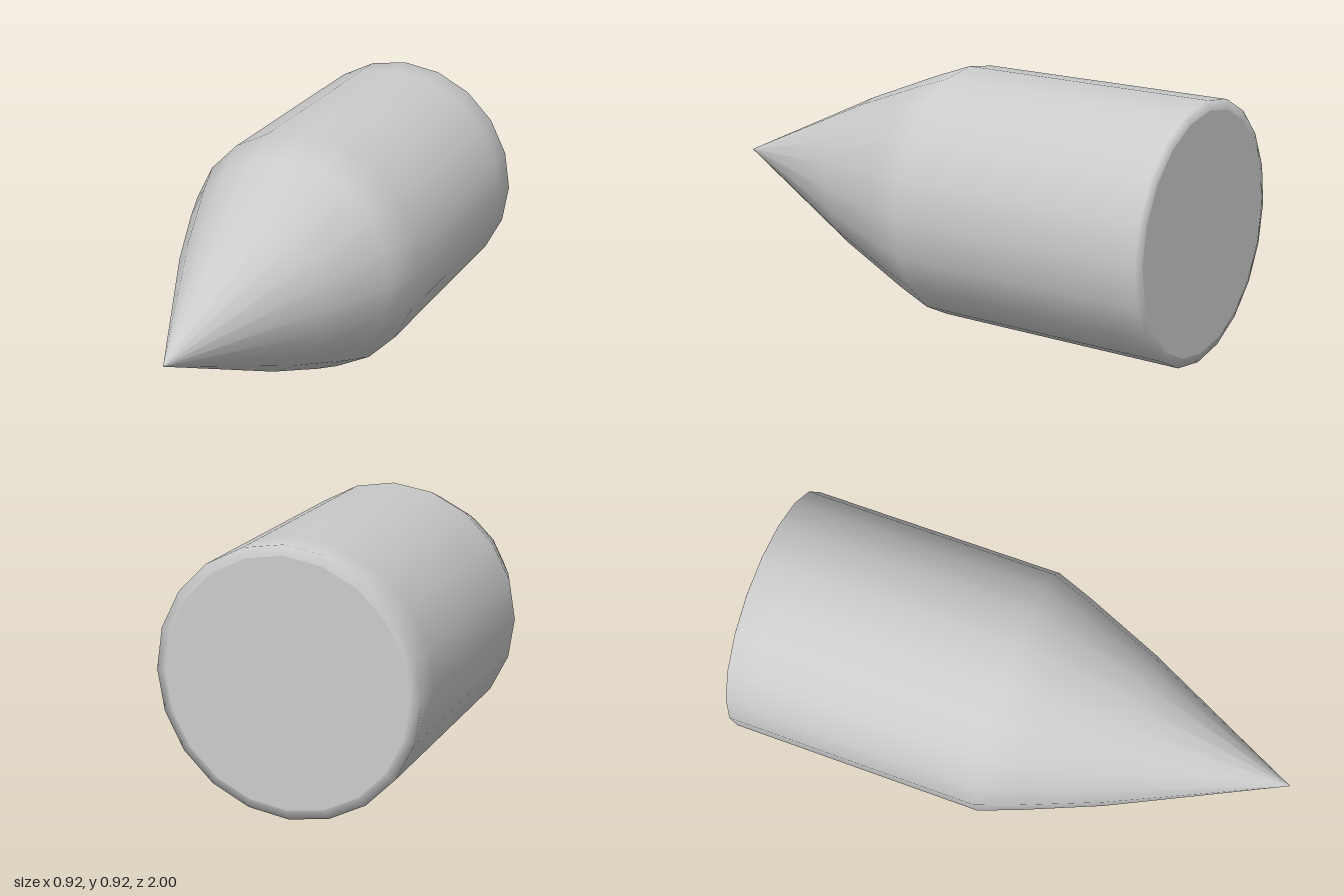
import * as THREE from 'three';

const SIDES = 20;
const RADIUS = 0.459;
const RIM = 0.425;

export function createModel() {
  const group = new THREE.Group();
  group.name = 'pointedRound';
  const material = new THREE.MeshStandardMaterial({ color: 0xcccccc });

  // Body and pointed nose: [radius, z] from the back rim to the tip
  const profile = [
    [RIM, -1], [RADIUS, -0.99], [RADIUS, -0.88], [RADIUS, -0.04],
    [0.408, 0.1], [0.29, 0.39], [0, 1],
  ].map(([r, z]) => new THREE.Vector2(r, z));
  const shell = new THREE.Mesh(new THREE.LatheGeometry(profile, SIDES).rotateX(Math.PI / 2), material);
  shell.name = 'bodyAndNose';
  shell.position.y = RADIUS;
  group.add(shell);

  // Flat back cap, facing -z
  const cap = new THREE.Mesh(new THREE.CircleGeometry(RIM, SIDES).rotateY(Math.PI), material);
  cap.name = 'backCap';
  cap.position.set(0, RADIUS, -1);
  group.add(cap);

  return group;
}
